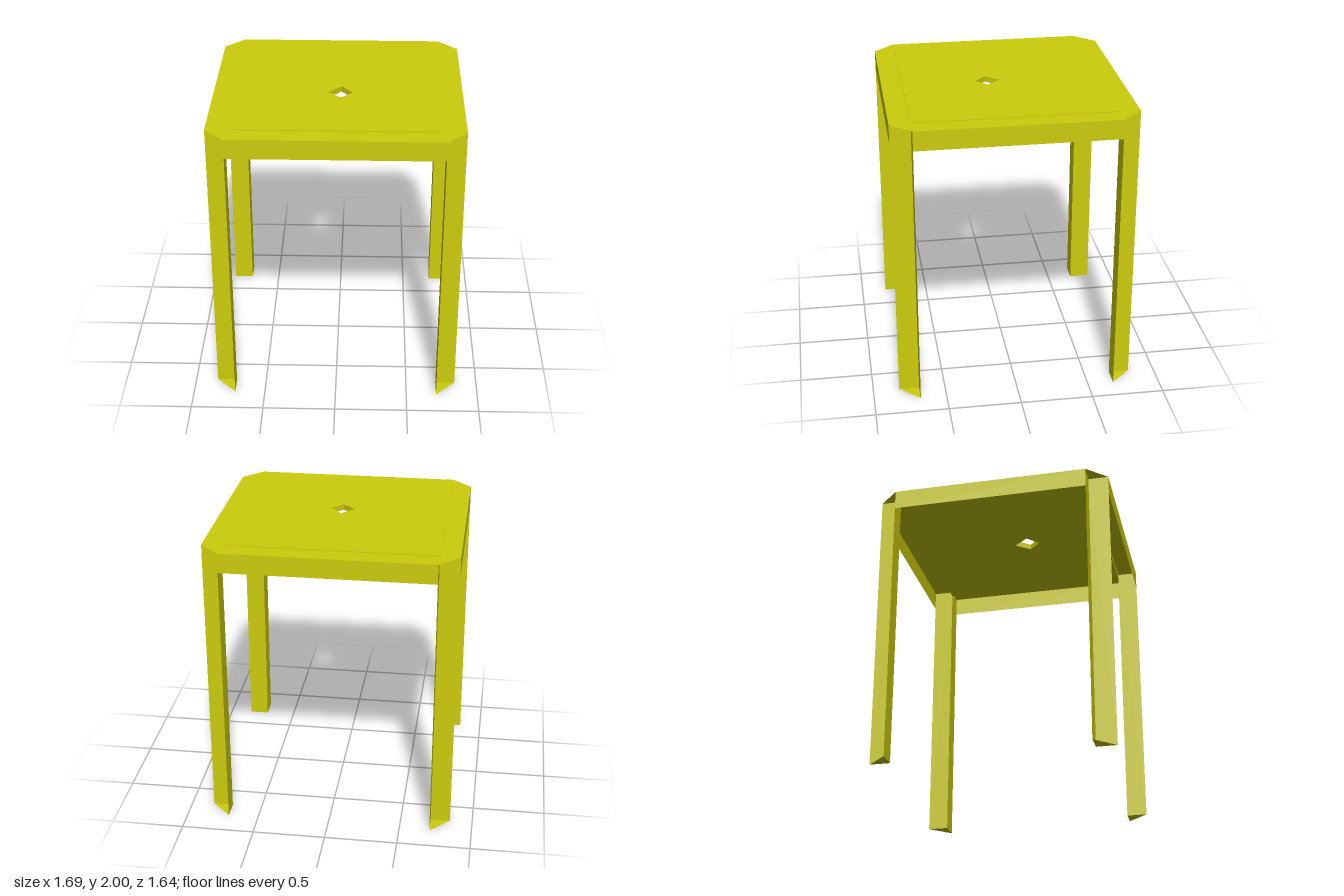
import * as THREE from 'three';

export function createModel() {
  const group = new THREE.Group();
  const material = new THREE.MeshStandardMaterial({ color: 0xcccc0c, flatShading: true, side: THREE.DoubleSide });
  // outer half sizes, half sizes at the inner leg corner, heights
  const X = 0.845, Z = 0.82, xi = 0.71, zi = 0.68;
  const top = 2, rimY = 1.995, apronY = 1.86, panelT = 0.04;

  const add = (name, geometry) => {
    const mesh = new THREE.Mesh(geometry, material);
    mesh.name = name;
    group.add(mesh);
    return mesh;
  };
  const points = list => list.map(([x, z]) => new THREE.Vector2(x, -z));
  const flat = (geometry, y) => geometry.rotateX(-Math.PI / 2).translate(0, y, 0);

  // upright sheet between two plan points
  const sheet = (name, [x0, z0], [x1, z1], y0, y1) => {
    const g = new THREE.PlaneGeometry(Math.hypot(x1 - x0, z1 - z0), y1 - y0);
    g.rotateY(-Math.atan2(z1 - z0, x1 - x0));
    g.translate((x0 + x1) / 2, (y0 + y1) / 2, (z0 + z1) / 2);
    return add(name, g);
  };

  // flat rim with cut corners
  const inner = [[-xi, zi], [xi, zi], [xi, -zi], [-xi, -zi]];
  const rim = new THREE.Shape(points([
    [-xi, Z], [xi, Z], [X, zi], [X, -zi], [xi, -Z], [-xi, -Z], [-X, -zi], [-X, zi],
  ]));
  rim.holes.push(new THREE.Path(points(inner)));
  add('topRim', flat(new THREE.ShapeGeometry(rim), rimY));

  // slightly raised panel with a diamond hole
  const panel = new THREE.Shape(points(inner));
  panel.holes.push(new THREE.Path(points([[0.02, 0.0], [0.1, 0.1], [0.02, 0.18], [-0.065, 0.1]])));
  add('topPanel', flat(new THREE.ExtrudeGeometry(panel, { depth: panelT, bevelEnabled: false }), top - panelT));

  // thin aprons on the four sides
  for (const s of [1, -1]) {
    sheet(s > 0 ? 'frontApron' : 'backApron', [-xi, s * Z], [xi, s * Z], apronY, rimY);
    sheet(s > 0 ? 'leftApron' : 'rightApron', [s * X, -zi], [s * X, zi], apronY, rimY);
  }

  // angle legs, open towards the outside, with a triangular foot
  for (const sx of [1, -1]) for (const sz of [1, -1]) {
    const name = (sz > 0 ? 'front' : 'back') + (sx > 0 ? 'Left' : 'Right') + 'Leg';
    const a = [sx * xi, sz * Z], corner = [sx * xi, sz * zi], b = [sx * X, sz * zi];
    sheet(name + 'Side', a, corner, 0, rimY);
    sheet(name + 'Face', corner, b, 0, rimY);
    add(name + 'Foot', flat(new THREE.ShapeGeometry(new THREE.Shape(points([a, corner, b]))), 0));
  }
  return group;
}
